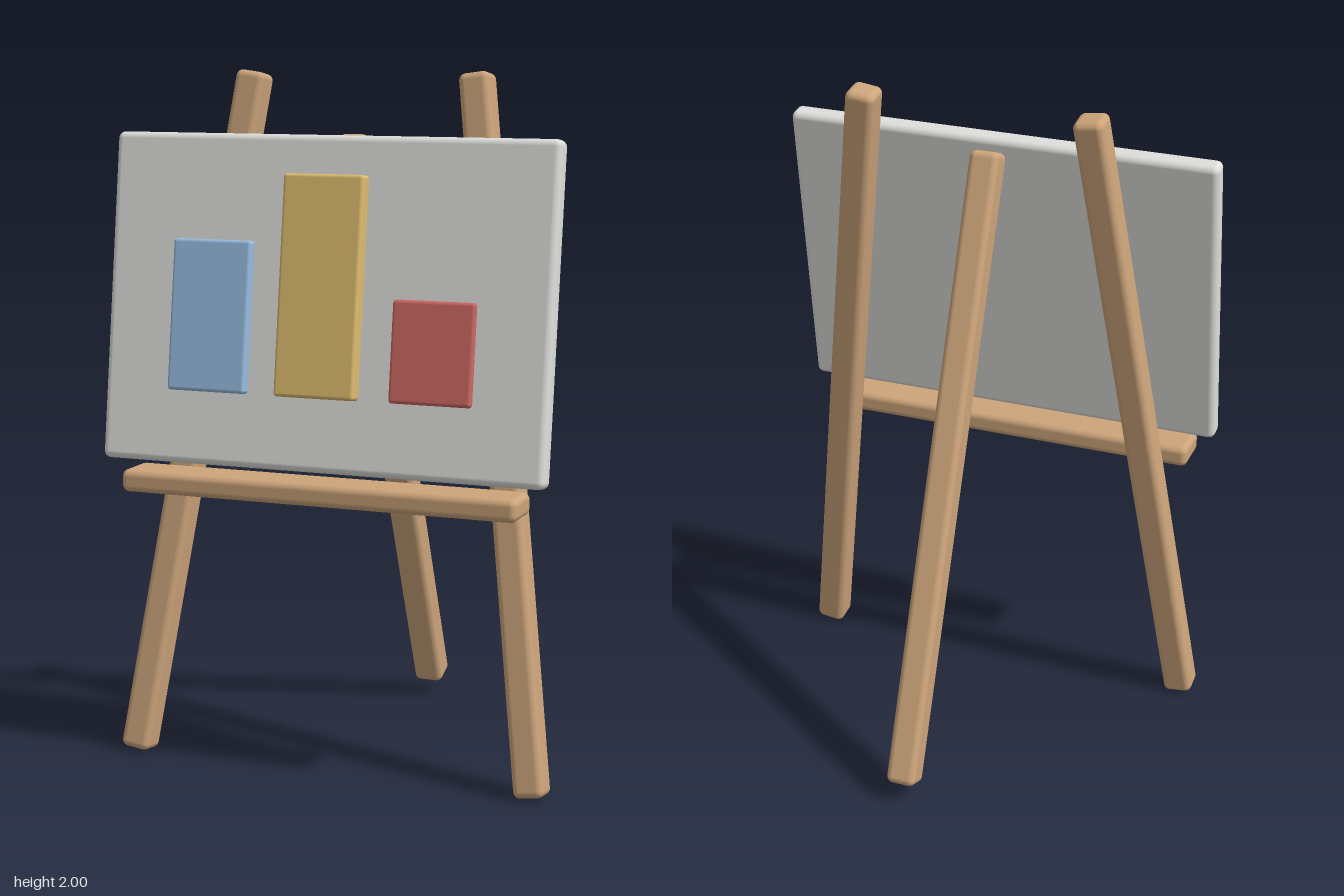
import * as THREE from 'three';
import { RoundedBoxGeometry } from 'three/addons/geometries/RoundedBoxGeometry.js';

const material = (name, color) => {
  const m = new THREE.MeshStandardMaterial({ color });
  m.name = name;
  return m;
};

export function createModel() {
  const model = new THREE.Group();
  model.name = 'easel';
  const wood = material('wood', 0xcca47a);
  const white = material('boardWhite', 0xdededb);
  const blue = material('blue', 0x97bbdf);
  const yellow = material('yellow', 0xdcbb6e);
  const red = material('red', 0xcd6862);

  function block(name, w, h, d, r, mat, parent) {
    const mesh = new THREE.Mesh(new RoundedBoxGeometry(w, h, d, 3, r), mat);
    mesh.name = name;
    parent.add(mesh);
    return mesh;
  }

  // Square leg running between two end centres
  function leg(name, bottom, top) {
    const a = new THREE.Vector3(...bottom);
    const b = new THREE.Vector3(...top);
    const dir = b.clone().sub(a);
    const mesh = block(name, 0.09, dir.length(), 0.09, 0.02, wood, model);
    mesh.position.copy(a).add(b).multiplyScalar(0.5);
    mesh.quaternion.setFromUnitVectors(new THREE.Vector3(0, 1, 0), dir.normalize());
  }
  for (const [side, s] of [['left', 1], ['right', -1]]) {
    leg(side + 'FrontLeg', [s * 0.613, 0.005, 0.398], [s * 0.34, 1.995, 0.118]);
  }
  leg('backLeg', [0, 0.055, -0.474], [0, 1.813, 0.227]);

  // Ledge under the board
  block('ledge', 1.19, 0.065, 0.14, 0.02, wood, model).position.set(0, 0.838, 0.45);

  // Board leaning back with the chart bars on its front
  const board = new THREE.Group();
  board.name = 'chartBoard';
  board.position.set(0, 1.36, 0.4);
  board.rotation.x = -0.14;
  model.add(board);
  const thickness = 0.066;
  block('panel', 1.33, 0.94, thickness, 0.02, white, board);

  // Bars share a baseline and stand out by different amounts
  const bars = [
    ['blueBar', -0.335, 0.43, 0.028, blue],
    ['yellowBar', 0, 0.62, 0.042, yellow],
    ['redBar', 0.332, 0.285, 0.016, red],
  ];
  for (const [name, x, h, out, mat] of bars) {
    const depth = out + 0.012;
    block(name, 0.24, h, depth, 0.01, mat, board)
      .position.set(x, -0.262 + h / 2, thickness / 2 + out - depth / 2);
  }
  return model;
}
